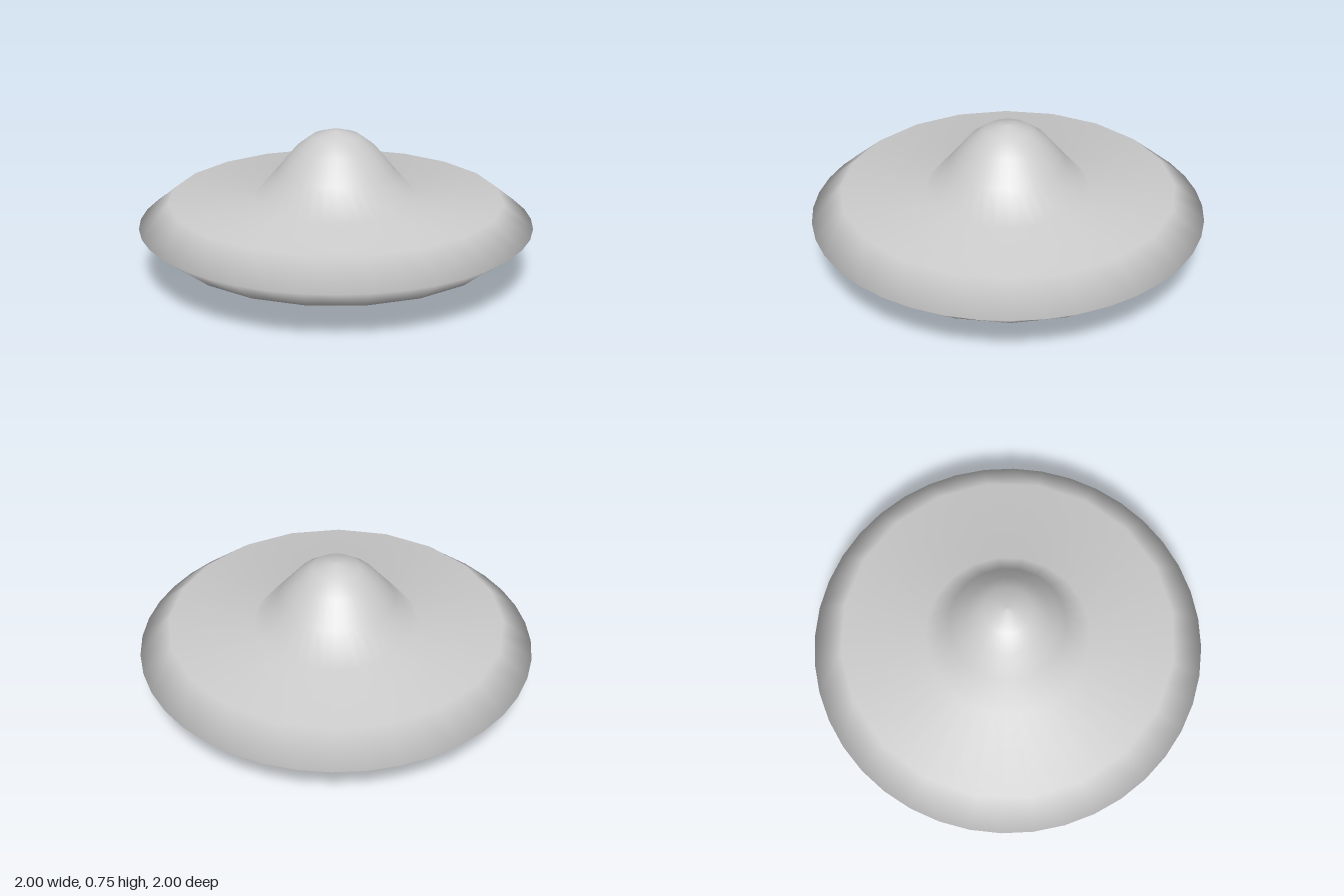
import * as THREE from 'three';

const STEP = Math.PI / 10; // the body has 20 main sides

export function createModel() {
  const model = new THREE.Group();
  const material = new THREE.MeshStandardMaterial({ color: 0xcccccc });

  // Saucer disc and dome, one smooth turned profile
  const profile = [
    [0, 0.16], [0.85, 0.16], [1, 0.28], [0.85, 0.405], [0.42, 0.405],
    [0.295, 0.55], [0.2, 0.665], [0.12, 0.725], [0.04, 0.75], [0, 0.755],
  ].map(([r, y]) => new THREE.Vector2(r, y));
  const bodyGeometry = new THREE.LatheGeometry(profile, 40);

  // The rim keeps 40 corners; every other ring is pulled in to 20 sides
  const pos = bodyGeometry.attributes.position;
  const chord = Math.cos(STEP / 2);
  for (let i = 0; i < pos.count; i++) {
    const column = Math.floor(i / profile.length);
    const onRim = i % profile.length === 2;
    if (column % 2 === 1 && !onRim) {
      pos.setX(i, pos.getX(i) * chord);
      pos.setZ(i, pos.getZ(i) * chord);
    }
  }
  const body = new THREE.Mesh(bodyGeometry, material);
  body.name = 'saucerBody';
  model.add(body);

  // Four wedge feet that meet in a point under the centre
  const legs = new THREE.Group();
  legs.name = 'landingFeet';
  const corner = (k) => [0.42 * Math.sin(k * STEP), -0.42 * Math.cos(k * STEP)];
  for (const k of [-3, 1, 7, 11]) {
    const wedge = new THREE.Shape();
    wedge.moveTo(0, 0);
    wedge.lineTo(...corner(k));
    wedge.lineTo(...corner(k + 1));
    wedge.closePath();
    const geometry = new THREE.ExtrudeGeometry(wedge, { depth: 0.16, bevelEnabled: false });
    geometry.rotateX(-Math.PI / 2);
    const leg = new THREE.Mesh(geometry, material);
    leg.name = 'landingFoot';
    legs.add(leg);
  }
  model.add(legs);

  return model;
}
